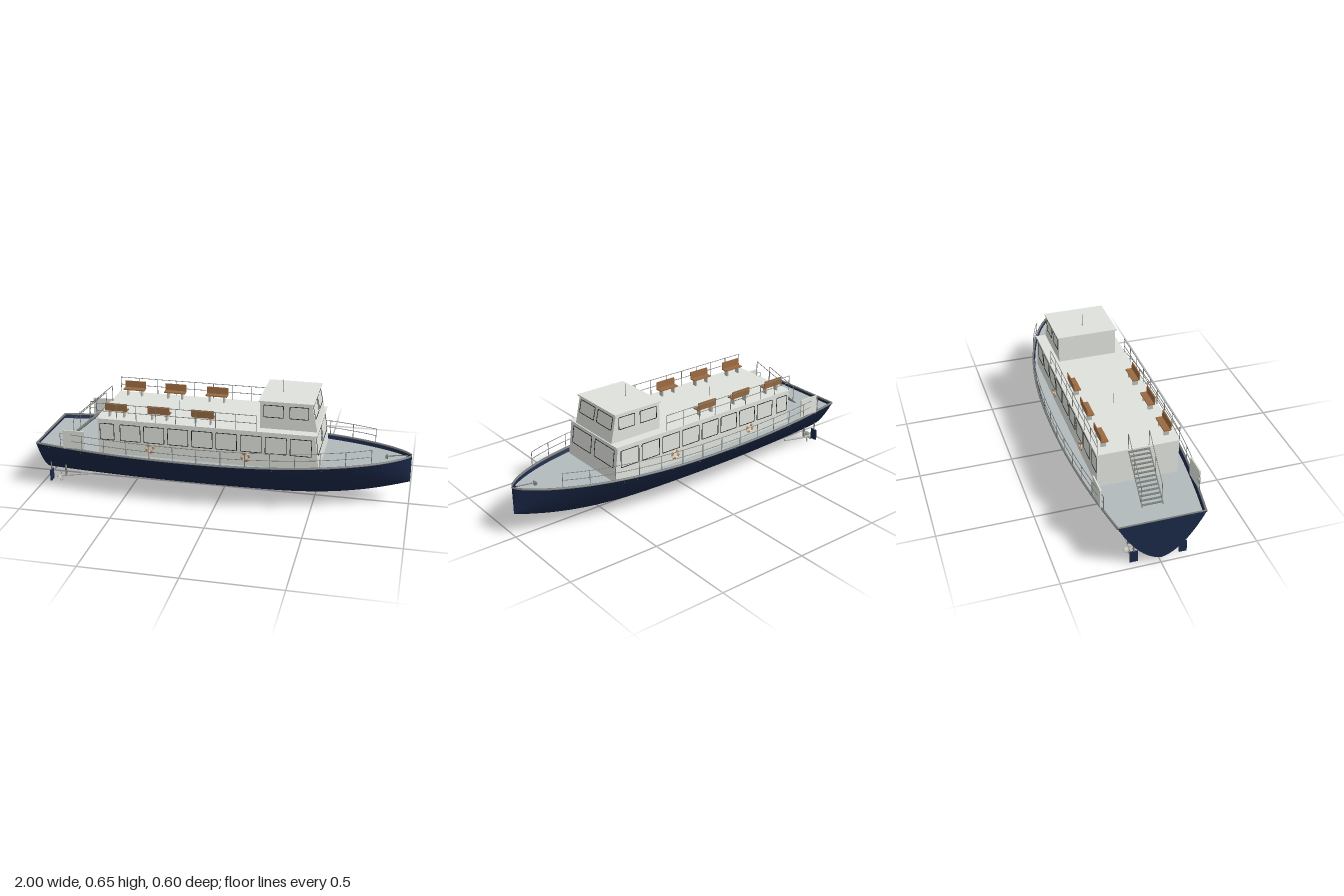
import * as THREE from 'three';

const mat = (name, color, side = THREE.FrontSide) => {
  const m = new THREE.MeshStandardMaterial({ color, side });
  m.name = name;
  return m;
};
const M = {
  navy: mat('navy hull', 0x1a2747, THREE.DoubleSide),
  deck: mat('deck grey', 0xb2babc, THREE.DoubleSide),
  white: mat('cabin white', 0xdfe2dc),
  black: mat('frame black', 0x1d2020),
  steel: mat('rail steel', 0x7b7f7c, THREE.DoubleSide),
  metal: mat('pale metal', 0xbcbeb9, THREE.DoubleSide),
  wood: mat('bench wood', 0x9a6a40),
  orange: mat('lifebuoy orange', 0xc8803f),
};

// Hull lines as functions of the length x
const aft = x => Math.max(0, (-0.15 - x) / 0.85);
const beam = x => x > -0.15
  ? 0.3 * Math.pow(Math.max(0, 1 - Math.pow((x + 0.15) / 1.15, 2.4)), 0.7)
  : 0.3 - 0.08 * aft(x) ** 2;
const sheer = x => 0.26 + 0.024 * Math.max(0, (x + 0.1) / 1.1) ** 2 + 0.005 * aft(x) ** 2;
const keel = x => 0.021 + 0.113 * Math.max(0, (x - 0.2) / 0.8) ** 2.5 + 0.013 * aft(x) ** 2;
const deckY = x => sheer(x) - 0.024;
// Section: a slight V blended with a parabola
const VEE = 0.15;
const rise = s => VEE * Math.abs(s) + (1 - VEE) * s * s;
const widthAt = (x, y) => {
  const t = (y - keel(x)) / (sheer(x) - keel(x));
  return beam(x) * (Math.sqrt(VEE * VEE + 4 * (1 - VEE) * t) - VEE) / (2 * (1 - VEE));
};

// Surface from rows of points running along the ship
function loft(section, rows = 64) {
  const pos = [], idx = [];
  let n = 0;
  for (let i = 0; i <= rows; i++) {
    const x = -1 + 2 * (1 - Math.pow(1 - i / rows, 1.7));
    const pts = section(x);
    n = pts.length;
    pts.forEach(([y, z]) => pos.push(x, y, z));
  }
  for (let i = 0; i < rows; i++) for (let j = 0; j < n - 1; j++) {
    const a = i * n + j, b = a + n;
    idx.push(a, a + 1, b, b, a + 1, b + 1);
  }
  const g = new THREE.BufferGeometry();
  g.setAttribute('position', new THREE.Float32BufferAttribute(pos, 3));
  g.setIndex(idx);
  g.computeVertexNormals();
  return g;
}

export function createModel() {
  const root = new THREE.Group();
  root.name = 'passengerBoat';

  const add = (name, geo, m, parent = root) => {
    const o = new THREE.Mesh(geo, m);
    o.name = name;
    parent.add(o);
    return o;
  };
  const box = (name, m, w, h, d, x, y, z, parent) => {
    const o = add(name, new THREE.BoxGeometry(w, h, d), m, parent);
    o.position.set(x, y, z);
    return o;
  };
  const rod = (name, a, b, r = 0.0018, m = M.steel) => {
    const p = new THREE.Vector3(...a), q = new THREE.Vector3(...b);
    const o = add(name, new THREE.CylinderGeometry(r, r, p.distanceTo(q), 8), m);
    o.position.copy(p).add(q).multiplyScalar(0.5);
    o.quaternion.setFromUnitVectors(new THREE.Vector3(0, 1, 0), q.sub(p).normalize());
    return o;
  };
  const pipe = (name, pts, r = 0.0018) => add(name, new THREE.TubeGeometry(
    new THREE.CatmullRomCurve3(pts.map(p => new THREE.Vector3(...p))), pts.length * 3, r, 6), M.steel);

  // Hull shell, transom, deck and gunwale
  const ribs = x => Array.from({ length: 33 }, (_, j) => {
    const s = j / 16 - 1;
    return [keel(x) + (sheer(x) - keel(x)) * rise(s), beam(x) * s];
  });
  add('hull', loft(ribs), M.navy);
  const transom = new THREE.Shape(ribs(-1).map(([y, z]) => new THREE.Vector2(z, y)));
  const tr = add('transom', new THREE.ShapeGeometry(transom), M.navy);
  tr.rotation.y = -Math.PI / 2;
  tr.position.x = -1;
  add('deck', loft(x => {
    const w = widthAt(x, deckY(x));
    return [[deckY(x), -w], [deckY(x), w]];
  }), M.deck);
  for (const s of [-1, 1]) {
    add('gunwale', loft(x => {
      const o = beam(x) + 0.002, i = Math.max(0, beam(x) - 0.007), y = sheer(x);
      return [[y - 0.005, s * o], [y + 0.003, s * o], [y + 0.003, s * i], [y - 0.005, s * i]];
    }), M.steel);
  }
  box('sternGunwale', M.steel, 0.008, 0.008, 0.44, -0.996, 0.264, 0);

  // Cabins: side profile with a raked front, extruded across the ship
  const house = (name, x0, xb, xt, y0, y1, half) => {
    const sh = new THREE.Shape([[x0, y0], [xb, y0], [xt, y1], [x0, y1]].map(p => new THREE.Vector2(...p)));
    add(name, new THREE.ExtrudeGeometry(sh, { depth: 2 * half, bevelEnabled: false }), M.white).position.z = -half;
  };
  house('mainCabin', -0.645, 0.54, 0.515, 0.225, 0.43, 0.21);
  box('upperDeck', M.white, 1.178, 0.006, 0.43, -0.064, 0.432, 0);
  house('wheelhouse', 0.22, 0.52, 0.488, 0.43, 0.58, 0.16);
  box('wheelhouseRoof', M.white, 0.285, 0.007, 0.334, 0.355, 0.583, 0);

  // Windows: thin dark rounded frames
  const rounded = (P, w, h, r) => {
    const p = new P(), x = w / 2, y = h / 2;
    p.moveTo(-x + r, -y).lineTo(x - r, -y).quadraticCurveTo(x, -y, x, -y + r)
      .lineTo(x, y - r).quadraticCurveTo(x, y, x - r, y)
      .lineTo(-x + r, y).quadraticCurveTo(-x, y, -x, y - r)
      .lineTo(-x, -y + r).quadraticCurveTo(-x, -y, -x + r, -y);
    return p;
  };
  const windowAt = (w, h, x, y, z, turn, tilt = 0) => {
    const f = rounded(THREE.Shape, w, h, 0.006);
    f.holes.push(rounded(THREE.Path, w - 0.006, h - 0.006, 0.004));
    const o = add('windowFrame', new THREE.ExtrudeGeometry(f, { depth: 0.002, bevelEnabled: false, curveSegments: 4 }), M.black);
    o.position.set(x, y, z);
    o.rotation.set(-tilt, turn, 0, 'YXZ');
  };
  for (const s of [-1, 1]) {
    const turn = s > 0 ? 0 : Math.PI;
    windowAt(0.08, 0.094, -0.595, 0.362, s * 0.21, turn);
    for (let i = 0; i < 8; i++) windowAt(0.113, 0.094, -0.467 + i * 0.13, 0.362, s * 0.21, turn);
    windowAt(0.105, 0.068, 0.29, 0.531, s * 0.16, turn);
    windowAt(0.1, 0.068, 0.423, 0.531, s * 0.16, turn);
    windowAt(0.171, 0.097, 0.5233, 0.362, s * 0.1, Math.PI / 2, 0.121);
    windowAt(0.131, 0.071, 0.4985, 0.531, s * 0.077, Math.PI / 2, 0.21);
  }

  // Masts
  rod('wheelhouseMast', [0.315, 0.58, 0], [0.315, 0.652, 0], 0.0012);
  rod('mastFoot', [0.315, 0.585, 0], [0.315, 0.59, 0], 0.003);
  rod('deckMast', [-0.25, 0.43, 0], [-0.25, 0.495, 0], 0.0012);

  for (const s of [-1, 1]) {
    // Upper deck railing
    for (const y of [0.478, 0.52]) rod('upperRail', [-0.645, y, s * 0.21], [0.21, y, s * 0.21]);
    for (let i = 0; i <= 8; i++) {
      const x = -0.645 + i * 0.1069;
      rod('upperRailPost', [x, 0.43, s * 0.21], [x, 0.52, s * 0.21]);
    }

    // Side railing along the gunwale
    const at = (x, h) => [x, sheer(x) + h, s * (beam(x) - 0.004)];
    for (const h of [0.042, 0.08]) {
      pipe('sideRail', Array.from({ length: 25 }, (_, i) => at(-0.85 + i * 1.65 / 24, h)));
    }
    for (let i = 0; i <= 13; i++) {
      const x = -0.85 + i * 1.65 / 13;
      rod('sideRailPost', at(x, 0), at(x, 0.08));
    }
    box('boardingGate', M.white, 0.12, 0.105, 0.007, -0.77, 0.314, s * 0.249);

    // Benches with their backs to the railing
    for (const x of [-0.55, -0.317, -0.08]) {
      const b = new THREE.Group();
      b.name = 'bench';
      root.add(b);
      box('benchSeat', M.wood, 0.12, 0.006, 0.038, x, 0.473, s * 0.16, b);
      const back = box('benchBack', M.wood, 0.12, 0.04, 0.005, x, 0.493, s * 0.178, b);
      back.rotation.x = s * 0.06;
      for (const d of [-0.04, 0.04]) {
        box('benchLeg', M.metal, 0.008, 0.038, 0.026, x + d, 0.452, s * 0.162, b);
      }
    }

    // Lifebuoys with pale bands, hung flat on the cabin side
    for (const x of [-0.36, 0.155]) {
      const g = new THREE.Group();
      g.name = 'lifebuoy';
      g.position.set(x, 0.284, s * 0.211);
      g.scale.z = 0.6;
      root.add(g);
      for (let k = 0; k < 8; k++) {
        add('buoySegment', new THREE.TorusGeometry(0.02, 0.006, 8, 6, Math.PI / 4), k % 2 ? M.white : M.orange, g)
          .rotation.z = k * Math.PI / 4;
      }
    }

    // Propeller, shaft, bracket and rudder
    const z = s * 0.125;
    rod('propellerShaft', [-0.93, 0.032, z], [-0.72, 0.068, z], 0.006, M.metal);
    rod('shaftBracket', [-0.875, 0.04, z], [-0.875, 0.12, z], 0.006);
    const prop = new THREE.Group();
    prop.name = 'propeller';
    prop.position.set(-0.905, 0.037, z);
    root.add(prop);
    add('propellerHub', new THREE.SphereGeometry(0.009, 12, 8), M.metal, prop);
    for (let k = 0; k < 4; k++) {
      const arm = new THREE.Group();
      arm.name = 'propellerArm';
      arm.rotation.x = k * Math.PI / 2;
      prop.add(arm);
      const blade = add('propellerBlade', new THREE.SphereGeometry(1, 12, 8), M.metal, arm);
      blade.scale.set(0.0025, 0.0145, 0.0135);
      blade.position.y = 0.02;
      blade.rotation.y = 0.6;
    }
    box('rudder', M.navy, 0.008, 0.062, 0.04, -0.96, 0.037, z);
    rod('rudderStock', [-0.96, 0.03, z], [-0.96, 0.125, z], 0.004);

    // Stair sides and handrail
    rod('stairStringer', [-0.865, 0.242, s * 0.053], [-0.645, 0.43, s * 0.053], 0.003);
    rod('stairHandrail', [-0.838, 0.352, s * 0.053], [-0.645, 0.522, s * 0.053]);
    for (const t of [0.1, 0.55, 1]) {
      const x = -0.865 + 0.22 * t, y = 0.242 + 0.188 * t;
      rod('stairPost', [x, y, s * 0.053], [x, y + 0.092, s * 0.053]);
    }
  }

  // Stair treads
  for (let i = 0; i < 13; i++) {
    box('stairTread', M.steel, 0.011, 0.004, 0.104, -0.855 + i * 0.0167, 0.25 + i * 0.0143, 0);
  }

  // Anchor gear on the foredeck
  rod('anchorShank', [0.87, 0.268, 0], [0.98, 0.282, 0], 0.003);
  rod('windlass', [0.87, 0.268, -0.015], [0.87, 0.268, 0.015], 0.005);
  box('windlassBase', M.steel, 0.014, 0.016, 0.012, 0.87, 0.262, 0);
  box('bowRoller', M.navy, 0.02, 0.006, 0.008, 0.988, 0.284, 0);

  return root;
}
